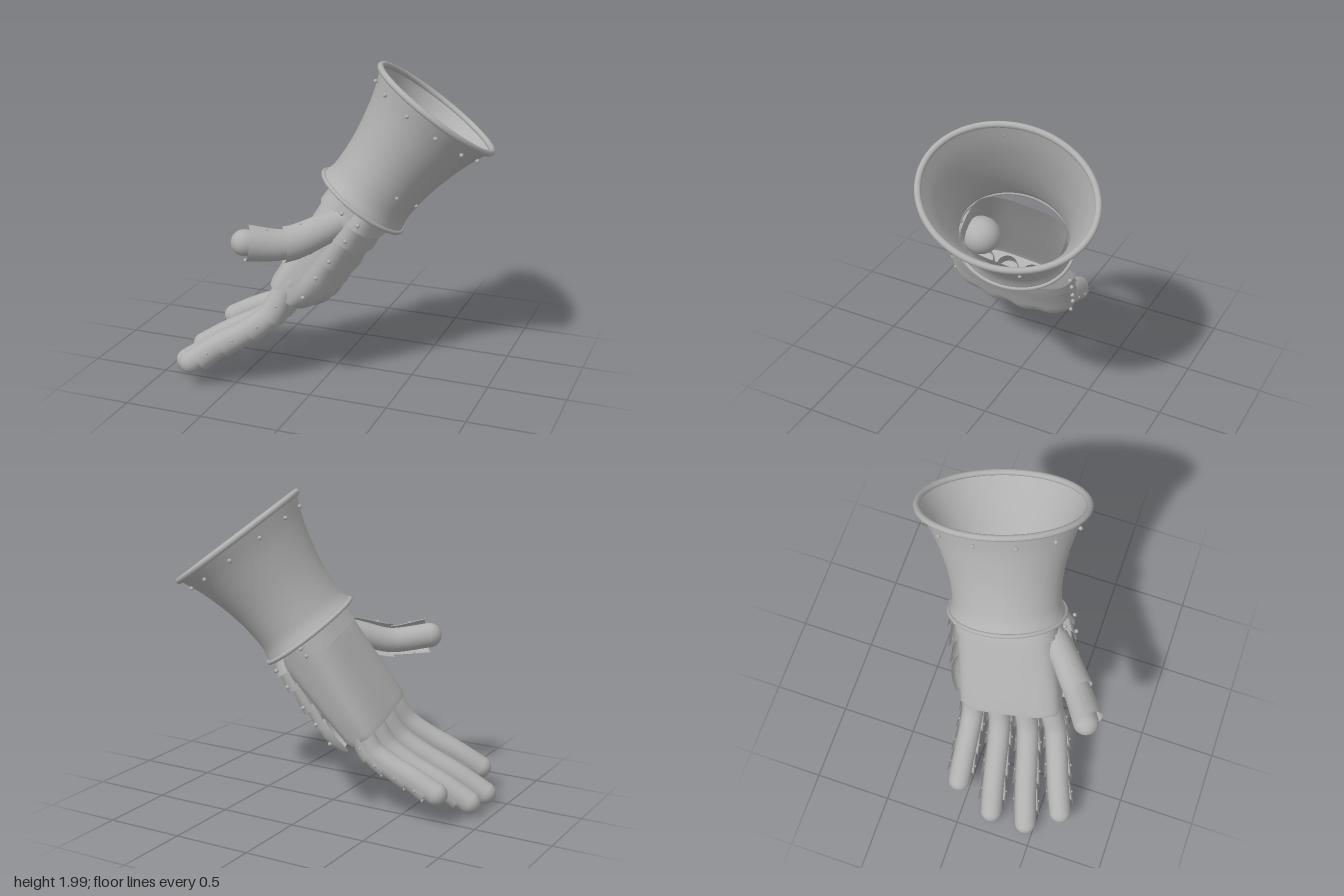
import * as THREE from 'three';

const V = (x, y, z) => new THREE.Vector3(x, y, z);
const steel = new THREE.MeshStandardMaterial({ color: 0xb0b0b0, side: THREE.DoubleSide });
steel.name = 'steel';

// Arm frame: T = back of hand, A = up the arm, W = thumb side
const A = V(0.56, 0.797, -0.232).normalize();
const W = V(0, 0, 1).addScaledVector(A, -A.z).normalize();
const T = A.clone().cross(W);
const wrist = V(0.15, 1.13, -0.035);
const toWorld = (t, a, w) => wrist.clone().addScaledVector(T, t).addScaledVector(A, a).addScaledVector(W, w);

function add(parent, geometry, name) {
  const mesh = new THREE.Mesh(geometry, steel);
  mesh.name = name;
  parent.add(mesh);
  return mesh;
}

// Skin through rows of points; closed rows wrap round
function loft(rows, closed = false) {
  const n = rows[0].length, index = [];
  for (let i = 0; i < rows.length - 1; i++) {
    for (let j = 0; j < (closed ? n : n - 1); j++) {
      const k = (j + 1) % n, a = i * n + j, b = i * n + k, c = a + n, d = b + n;
      index.push(a, c, b, b, c, d);
    }
  }
  const g = new THREE.BufferGeometry().setFromPoints(rows.flat());
  g.setIndex(index);
  g.computeVertexNormals();
  return g;
}

const rivetGeometry = new THREE.SphereGeometry(0.013, 10, 8);
function rivet(parent, p, scale = 1) {
  const head = add(parent, rivetGeometry, 'rivet');
  head.position.copy(p);
  head.scale.setScalar(scale);
}

const sgnPow = (v, e) => Math.sign(v) * Math.abs(v) ** e;

// Row across the back of the hand, or all round when span is a half turn
function arch(a, t0, rt, rw, { span = 1.6, e = 0.8, bump = 0, n = 48 } = {}) {
  const row = [], closed = span >= Math.PI;
  for (let i = 0; i < (closed ? n : n + 1); i++) {
    const q = -span + (2 * span * i) / n;
    const c = sgnPow(Math.cos(q), e), s = sgnPow(Math.sin(q), e);
    const k = bump * Math.max(0, Math.cos(q)) * Math.cos(s * Math.PI * 4 + Math.PI);
    row.push(V(t0 + (rt + k) * c, a, rw * s));
  }
  return row;
}

function ellipseRing(a, rt, rw, r) {
  const pts = [];
  for (let i = 0; i < 32; i++) {
    const q = (i / 32) * Math.PI * 2;
    pts.push(V(rt * Math.cos(q), a, rw * Math.sin(q)));
  }
  return new THREE.TubeGeometry(new THREE.CatmullRomCurve3(pts, true), 96, r, 10, true);
}

function buildCuff(hand) {
  const flat = 0.82;
  // Flared bell, oval in section
  const profile = new THREE.CatmullRomCurve3([[0.37, 0], [0.347, 0.07], [0.346, 0.16], [0.363, 0.3],
    [0.4, 0.45], [0.452, 0.6], [0.519, 0.738]].map(([r, a]) => V(r, a, 0)));
  const pts = profile.getPoints(32);
  const bell = new THREE.LatheGeometry(pts.map(p => new THREE.Vector2(p.x, p.y)), 72);
  bell.scale(flat, 1, 1);
  add(hand, bell, 'cuff');
  add(hand, ellipseRing(0.738, 0.428, 0.521, 0.02), 'cuffRim');
  add(hand, ellipseRing(0, 0.303, 0.37, 0.014), 'wristRim');
  for (let i = 0; i < 12; i++) {
    const q = (i / 12) * Math.PI * 2 + 0.15;
    rivet(hand, V(0.491 * flat * Math.cos(q), 0.655, 0.491 * Math.sin(q)));
  }
  for (let i = -1; i <= 1; i++) {
    const q = i * 0.68 + 0.24;
    rivet(hand, V(0.356 * flat * Math.cos(q), 0.205, 0.356 * Math.sin(q)), 0.85);
  }
}

function buildHand(hand) {
  // Palm: [along arm, centre, half thickness, half width], closed by a flat end
  const palm = [[0.1, 0, 0.2, 0.31], [-0.1, 0, 0.19, 0.315], [-0.3, 0, 0.17, 0.32], [-0.5, 0, 0.15, 0.33],
    [-0.68, 0, 0.135, 0.335], [-0.72, 0, 0.125, 0.325]];
  const round = { span: Math.PI, e: 0.6, n: 64 };
  add(hand, loft(palm.map(p => arch(...p, round)), true), 'palm');
  add(hand, loft([arch(-0.72, 0, 0.125, 0.325, round), arch(-0.73, 0, 0.001, 0.001, round)], true), 'palmEnd');

  // Wrist strap round the palm
  add(hand, loft([0.02, -0.12].map(a => arch(a, 0, 0.207, 0.333, { span: Math.PI, e: 0.7, n: 64 })), true), 'wristStrap');
  for (const a of [-0.03, -0.085]) rivet(hand, V(-0.08, a, -0.325));

  // Overlapping flared lames: [top, bottom, top half width, bottom half width]
  for (const [top, bottom, w0, w1] of [[0, -0.09, 0.345, 0.413], [-0.06, -0.21, 0.385, 0.422],
    [-0.18, -0.37, 0.392, 0.425], [-0.34, -0.5, 0.392, 0.425]]) {
    const rows = [0, 0.5, 1].map(f => arch(top + (bottom - top) * f, 0.055, 0.14 + 0.035 * f, w0 + (w1 - w0) * f));
    add(hand, loft(rows), 'handLame');
    for (const s of [-1, 1]) rivet(hand, V(0.107, bottom + 0.04, s * (w1 - 0.008)));
  }

  // Knuckle plate with four soft bumps
  const knuckle = [[-0.46, 0.13, 0.39, 0], [-0.5, 0.158, 0.41, 0.003], [-0.56, 0.172, 0.418, 0.007],
    [-0.62, 0.165, 0.413, 0.008], [-0.67, 0.14, 0.403, 0.005], [-0.708, 0.11, 0.39, 0]];
  add(hand, loft(knuckle.map(([a, rt, rw, bump]) => arch(a, 0.055, rt, rw, { bump, n: 72 }))), 'knucklePlate');
  for (const s of [-1, 1]) rivet(hand, V(0.12, -0.61, s * 0.406));
}

// Glove digit along a path, with arched plates facing the back direction
function buildDigit(parent, name, points, back, radius, plates, lift, flare) {
  const digit = new THREE.Group();
  digit.name = name;
  parent.add(digit);
  const curve = new THREE.CatmullRomCurve3(points);
  add(digit, new THREE.TubeGeometry(curve, 32, radius, 20), name + 'Glove');
  add(digit, new THREE.SphereGeometry(radius, 20, 14), name + 'Tip').position.copy(points[points.length - 1]);

  const around = (u, r, q) => {
    const tangent = curve.getTangentAt(u);
    const b = back.clone().addScaledVector(tangent, -back.dot(tangent)).normalize();
    const s = tangent.clone().cross(b);
    return curve.getPointAt(u).addScaledVector(b, r * Math.cos(q)).addScaledVector(s, r * Math.sin(q));
  };
  for (const [u0, u1] of plates) {
    const rows = [];
    for (let i = 0; i <= 5; i++) {
      const row = [], r = radius + lift + (flare * i) / 5;
      for (let j = 0; j <= 20; j++) row.push(around(u0 + ((u1 - u0) * i) / 5, r, -1.72 + (3.44 * j) / 20));
      rows.push(row);
    }
    add(digit, loft(rows), name + 'Plate');
    for (const s of [-1, 1]) rivet(digit, around(u0 + (u1 - u0) * 0.6, radius + lift + flare * 0.6, s * 1.4), 0.7);
  }
}

function buildFingers(model) {
  // [name, sideways place on the knuckles, tip]
  const fingers = [
    ['indexFinger', 0.265, V(-0.745, 0.175, 0.64)], ['middleFinger', 0.09, V(-0.87, 0.083, 0.44)],
    ['ringFinger', -0.085, V(-0.87, 0.098, 0.2)], ['littleFinger', -0.255, V(-0.765, 0.215, -0.06)]];
  const bend = [[0, 0, 0], [0.15, 0.33, 0.25], [0.39, 0.55, 0.47], [0.72, 0.775, 0.74], [1, 1, 1]];
  for (const [name, w, tip] of fingers) {
    const base = toWorld(-0.01, -0.7, w), reach = tip.clone().sub(base);
    const points = [toWorld(0, -0.6, w), ...bend.map(f => V(...f).multiply(reach).add(base))];
    buildDigit(model, name, points, T, 0.071, [[0.08, 0.33], [0.3, 0.5], [0.47, 0.73], [0.7, 0.93]], 0.006, 0.016);
  }
}

function buildThumb(model) {
  const points = [V(0.13, 1.09, 0.25), V(0.02, 1.045, 0.36), V(-0.11, 0.992, 0.475), V(-0.17, 0.985, 0.525), V(-0.353, 1.015, 0.645)];
  buildDigit(model, 'thumb', points, V(0.55, -0.1, 0.83), 0.08, [[0.08, 0.64], [0.58, 0.98]], 0.012, 0.02);
  const mound = add(model, new THREE.SphereGeometry(0.14, 24, 16), 'thumbBase');
  mound.position.set(0.1, 1.06, 0.23);
  mound.scale.set(0.9, 0.85, 0.9);
  rivet(model, V(0.15, 1.16, 0.34));
}

export function createModel() {
  const model = new THREE.Group();
  model.name = 'gauntlet';
  const hand = new THREE.Group();
  hand.name = 'cuffAndHand';
  hand.quaternion.setFromRotationMatrix(new THREE.Matrix4().makeBasis(T, A, W));
  hand.position.copy(wrist);
  model.add(hand);
  buildCuff(hand);
  buildHand(hand);
  buildFingers(model);
  buildThumb(model);
  return model;
}
